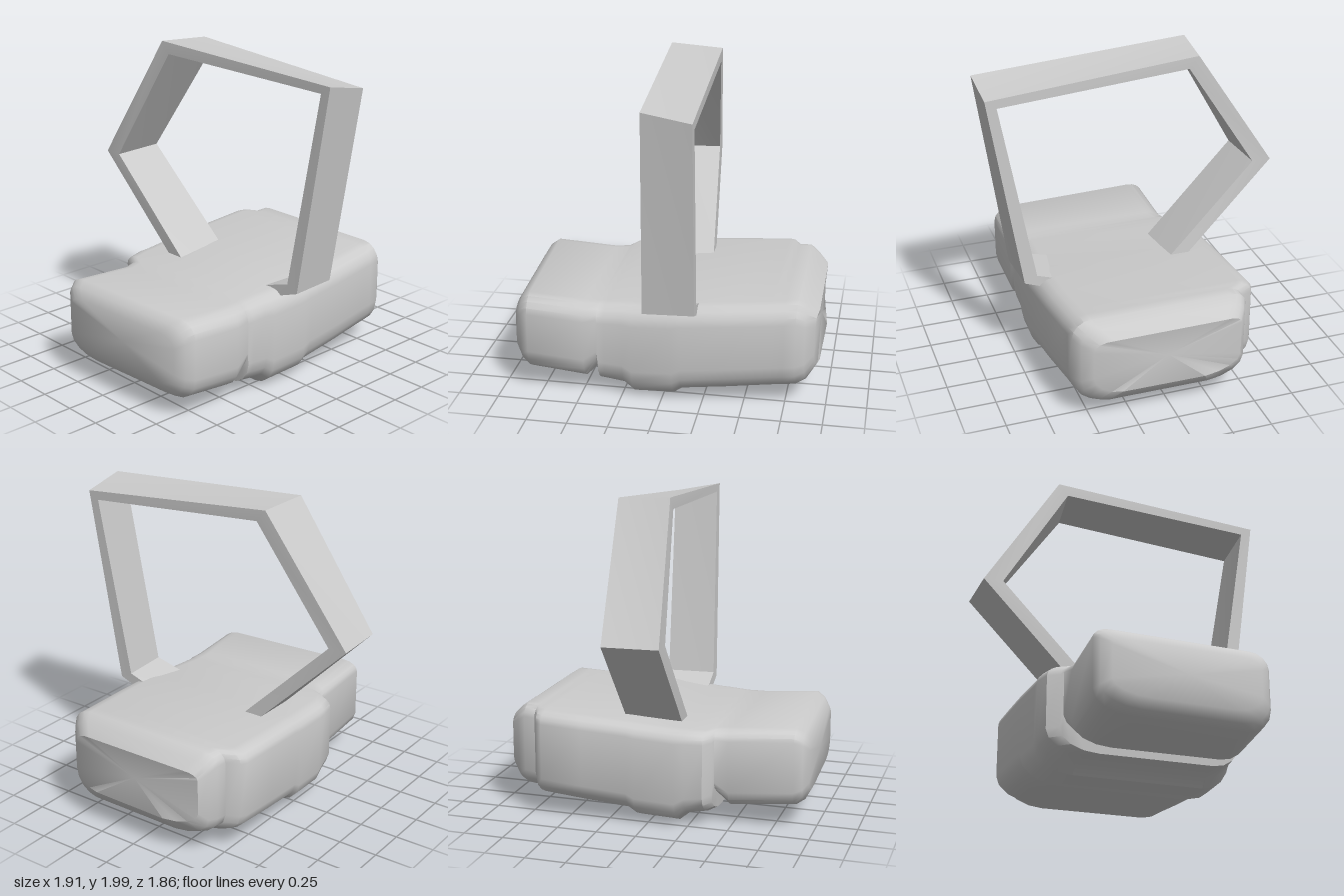
import * as THREE from 'three';
import { toCreasedNormals } from 'three/addons/utils/BufferGeometryUtils.js';

// Skin a list of equal-length rings of [x, y, z] and close both ends
function loft(rings, crease) {
  const n = rings[0].length, pos = [], idx = [];
  rings.forEach(r => r.forEach(p => pos.push(...p)));
  for (let s = 0; s < rings.length - 1; s++) {
    for (let i = 0; i < n; i++) {
      const j = (i + 1) % n, a = s * n + i, b = a + n, c = (s + 1) * n + j, d = s * n + j;
      idx.push(a, b, c, a, c, d);
    }
  }
  const cap = (s, flip) => {
    const centre = [0, 1, 2].map(k => rings[s].reduce((t, p) => t + p[k], 0) / n);
    const m = pos.length / 3;
    pos.push(...centre);
    for (let i = 0; i < n; i++) {
      const a = s * n + i, b = s * n + (i + 1) % n;
      if (flip) idx.push(m, b, a); else idx.push(m, a, b);
    }
  };
  cap(0, false);
  cap(rings.length - 1, true);
  const g = new THREE.BufferGeometry();
  g.setAttribute('position', new THREE.Float32BufferAttribute(pos, 3));
  g.setIndex(idx);
  return toCreasedNormals(g, crease);
}

// Rounded cross-section in z and y, running front top, back top, back bottom, front bottom
function section([x, bottom, top, back, front, shear = 0, bulge = 0]) {
  const steps = 4, ring = [];
  const h = (top - bottom) / 0.55;
  const corners = [
    // z, y, z radius, y radius, start angle
    [front, top, 0.12, 0.11 * h, 0],
    [back, top, 0.1, 0.07 * h, 1],
    [back, bottom, 0.24, 0.14 * h, 2],
    [front, bottom, 0.17, 0.17 * h, 3],
  ];
  for (const [cz, cy, rz, ry, q] of corners) {
    const oz = cz - Math.sign(cz) * rz, oy = cy + (q < 2 ? -ry : ry);
    for (let k = 0; k <= steps; k++) {
      const a = (q + k / steps) * Math.PI / 2;
      const z = oz + rz * Math.cos(a), y = oy + ry * Math.sin(a);
      ring.push([x + shear * z - bulge * (z - 0.04) ** 2, y, z]);
    }
  }
  return ring;
}

export function createModel() {
  const model = new THREE.Group();
  const material = new THREE.MeshStandardMaterial({ color: 0xcccccc, side: THREE.DoubleSide });
  const add = (name, geometry) => {
    const mesh = new THREE.Mesh(geometry, material);
    mesh.name = name;
    model.add(mesh);
  };

  // Body: x, bottom, top, back, front, end slant, end bulge
  const body = [
    [-0.945, 0.22, 0.55, -0.33, 0.57, 0.045],
    [-0.91, 0.16, 0.605, -0.39, 0.625, 0.05],
    [-0.86, 0.13, 0.635, -0.42, 0.655, 0.05],
    [-0.48, 0.09, 0.61, -0.425, 0.645],
    [-0.40, 0.18, 0.61, -0.45, 0.64],
    [-0.39, 0.08, 0.61, -0.47, 0.64],
    [-0.35, 0.075, 0.612, -0.54, 0.64],
    [-0.24, 0.06, 0.62, -0.567, 0.642],
    [-0.18, 0.01, 0.622, -0.57, 0.648],
    [0.07, 0.025, 0.64, -0.585, 0.66],
    [0.12, 0.06, 0.645, -0.585, 0.66],
    [0.40, 0.085, 0.66, -0.595, 0.64],
    [0.66, 0.11, 0.675, -0.60, 0.615],
    [0.70, 0.112, 0.678, -0.58, 0.61],
    [0.74, 0.115, 0.68, -0.50, 0.607],
    [0.82, 0.122, 0.685, -0.495, 0.6, 0, 0.03],
    [0.89, 0.145, 0.645, -0.47, 0.56, 0, 0.1],
    [0.96, 0.23, 0.59, -0.43, 0.50, 0, 0.2],
  ];
  add('body', loft(body.map(section), 0.75));

  // Strap: outer z y, inner z y, left and right edge x, y and z shift of the -x edge
  const strap = [
    [0.40, 0.52, 0.40, 0.60, -0.11, 0.22, 0, 0],
    [0.72, 0.64, 0.64, 0.68, -0.09, 0.22, 0, 0.02],
    [0.92, 1.88, 0.85, 1.83, -0.05, 0.24, 0.055, 0.01],
    [-0.40, 1.985, -0.34, 1.91, -0.12, 0.21, 0.015, -0.03],
    [-0.93, 1.2, -0.81, 1.2, -0.20, 0.14, 0, 0.02],
    [-0.24, 0.52, -0.12, 0.52, -0.16, 0.20, 0, 0],
  ];
  add('strap', loft(strap.map(([zo, yo, zi, yi, xa, xb, dy, dz]) => [
    [xb, yo, zo], [xa, yo + dy, zo + dz], [xa, yi + dy, zi + dz], [xb, yi, zi],
  ]), 0.5));

  return model;
}
